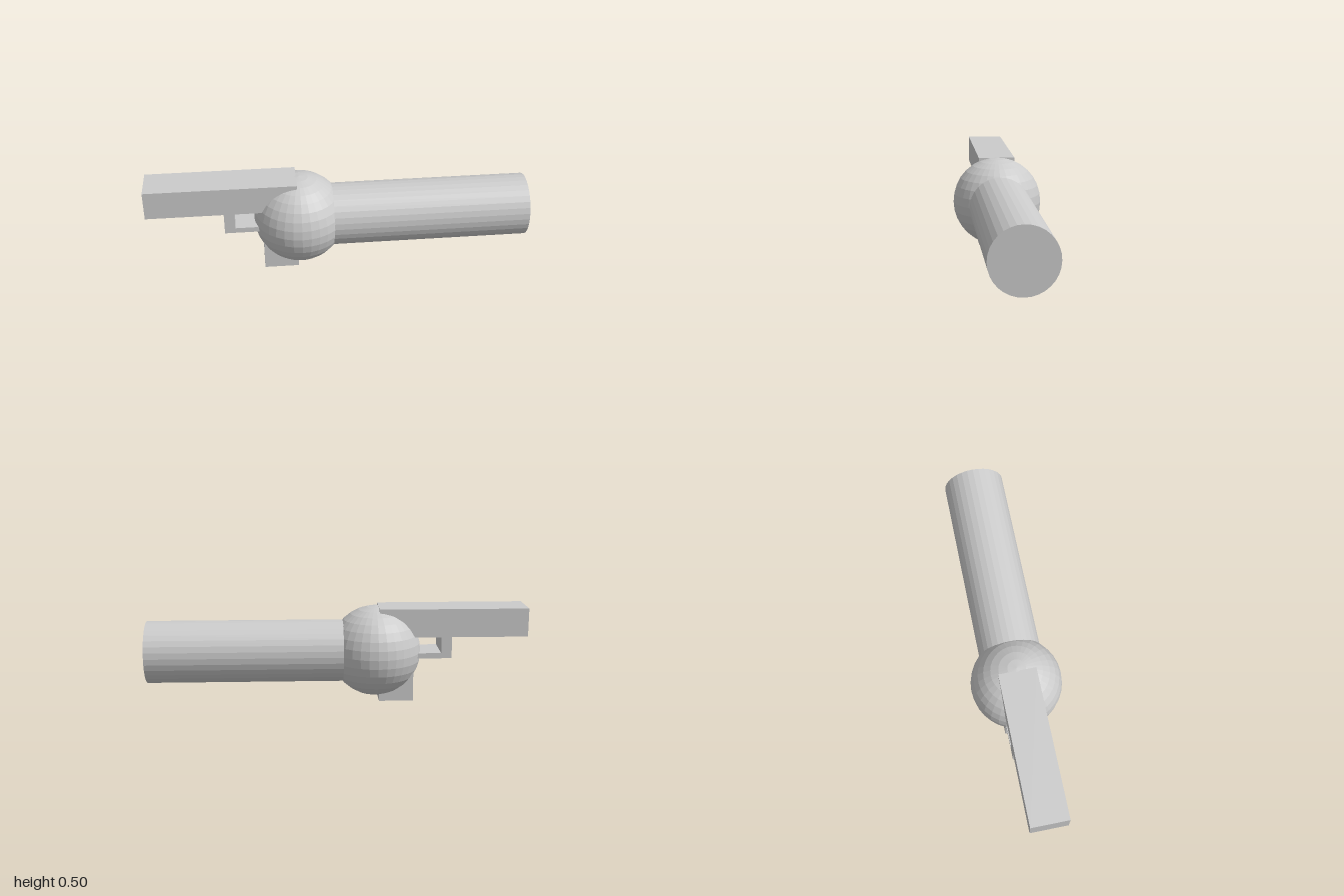
import * as THREE from 'three';

export function createModel() {
  const model = new THREE.Group();
  const material = new THREE.MeshStandardMaterial({ color: 0xcccccc, flatShading: true });
  const add = (name, geometry, x, y, z) => {
    const mesh = new THREE.Mesh(geometry, material);
    mesh.name = name;
    mesh.position.set(x, y, z);
    model.add(mesh);
  };
  const points = (list) => list.map(([x, y]) => new THREE.Vector2(x, y));

  // Flat side profile: long top bar, trigger guard and grip in one piece
  const profile = new THREE.Shape(points([
    [-0.4, 0], [-0.22, 0], [-0.22, 0.493], [-1, 0.493],
    [-1, 0.343], [-0.6, 0.343], [-0.6, 0.23], [-0.4, 0.23],
  ]));
  // Opening of the trigger guard
  profile.holes.push(new THREE.Path(points([
    [-0.545, 0.258], [-0.545, 0.343], [-0.4, 0.343], [-0.4, 0.258],
  ])));
  const depth = 0.196;
  add('frame', new THREE.ExtrudeGeometry(profile, { depth, bevelEnabled: false }), 0, 0, -depth / 2);

  // Round joint around the grip
  add('ball', new THREE.SphereGeometry(0.24, 32, 16), -0.205, 0.255, 0);

  // Straight arm, starting inside the ball
  const arm = new THREE.CylinderGeometry(0.164, 0.164, 1.2, 32);
  arm.rotateZ(-Math.PI / 2);
  add('arm', arm, 0.4, 0.255, 0);

  return model;
}
